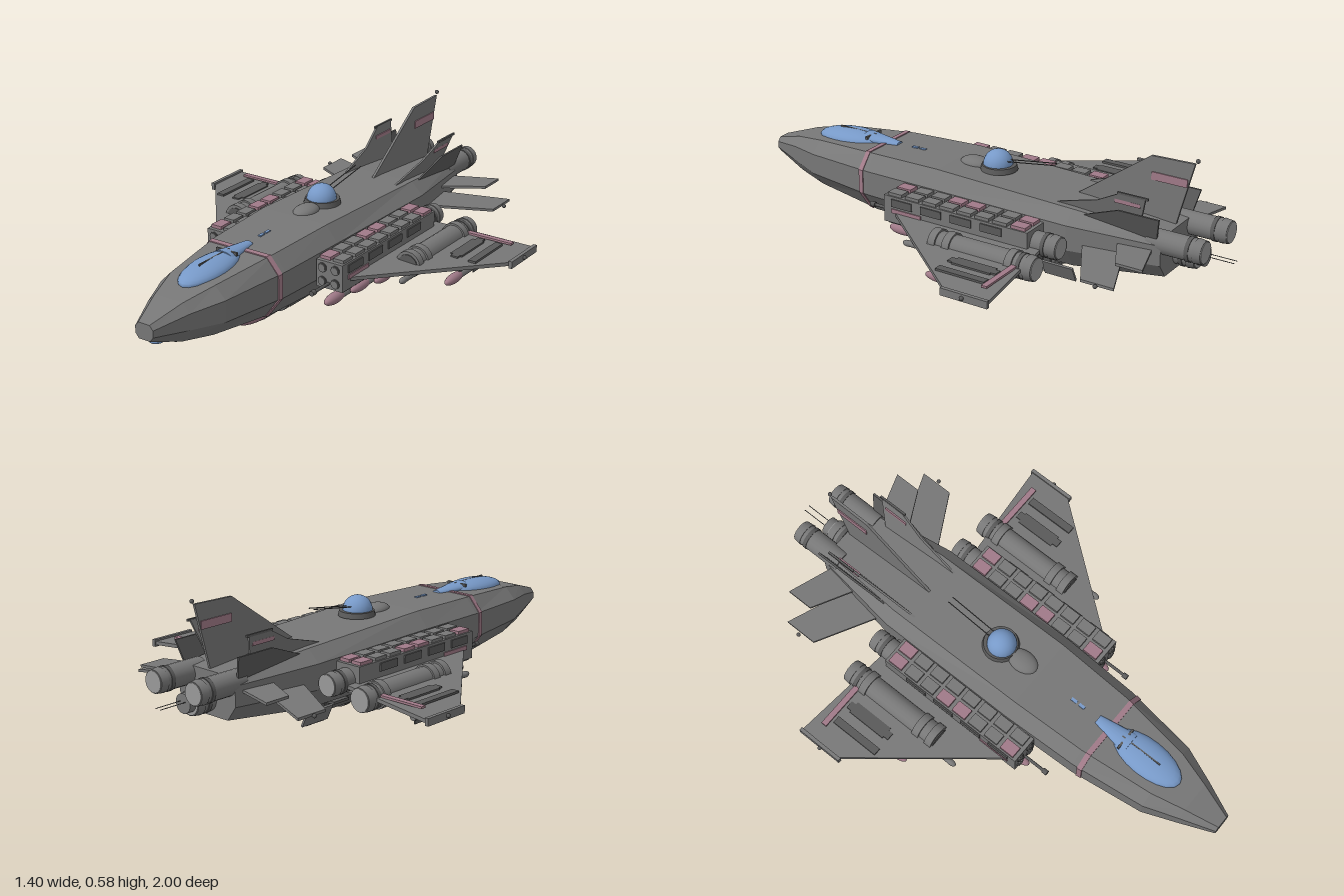
import * as THREE from 'three';

const mat = (name, color) => new THREE.MeshStandardMaterial({ name, color });

export function createModel() {
  const root = new THREE.Group();
  root.name = 'spaceFighter';
  const hull = mat('hull grey', 0x777777);
  const dark = mat('dark grey', 0x5a5a5a);
  const light = mat('nozzle grey', 0x9a9a9a);
  const pink = mat('dusty pink', 0xa07a88);
  const blue = mat('glass blue', 0x7799c8);

  const add = (name, geo, m, x = 0, y = 0, z = 0) => {
    const mesh = new THREE.Mesh(geo, m);
    mesh.name = name;
    mesh.position.set(x, y, z);
    root.add(mesh);
    return mesh;
  };
  const box = (name, m, x, y, z, w, h, d) => add(name, new THREE.BoxGeometry(w, h, d), m, x, y, z);
  const ball = (name, m, x, y, z, a, b = a, c = a) =>
    add(name, new THREE.SphereGeometry(1, 20, 14).scale(a, b, c), m, x, y, z);
  // Cylinder along z from z0 (front) to z1 (back)
  const tube = (name, m, x, y, z0, z1, r0, r1 = r0, n = 18) =>
    add(name, new THREE.CylinderGeometry(r0, r1, z0 - z1, n).rotateX(Math.PI / 2), m, x, y, (z0 + z1) / 2);
  const shapeOf = (pts) => new THREE.Shape(pts.map(([a, b]) => new THREE.Vector2(a, b)));
  // Horizontal plate from [x, z] points; y changes with |x| by slope
  const plate = (name, m, s, pts, y, t, slope = 0) => {
    const g = new THREE.ExtrudeGeometry(shapeOf(pts.map(([x, z]) => [s * x, -z])), { depth: t, bevelEnabled: false });
    g.rotateX(-Math.PI / 2).translate(0, y - t / 2, 0);
    const p = g.attributes.position;
    for (let i = 0; i < p.count; i++) p.setY(i, p.getY(i) + slope * Math.abs(p.getX(i)));
    g.computeVertexNormals();
    return add(name, g, m);
  };
  // Upright plate from [z, y] points; x changes with height by lean
  const fin = (name, m, pts, x, t, lean = 0) => {
    const g = new THREE.ExtrudeGeometry(shapeOf(pts), { depth: t, bevelEnabled: false });
    g.rotateY(-Math.PI / 2).translate(x + t / 2, 0, 0);
    const p = g.attributes.position, y0 = pts[0][1];
    for (let i = 0; i < p.count; i++) p.setX(i, p.getX(i) + lean * (p.getY(i) - y0));
    g.computeVertexNormals();
    return add(name, g, m);
  };

  // Fuselage sections: z, half width, flat top half width, bottom half width, top, upper edge, lower edge, bottom
  const sections = [
    [1.0, 0.038, 0.024, 0.024, 0.277, 0.26, 0.235, 0.217],
    [0.87, 0.09, 0.06, 0.05, 0.318, 0.285, 0.225, 0.172],
    [0.74, 0.14, 0.095, 0.085, 0.342, 0.297, 0.217, 0.155],
    [0.45, 0.178, 0.13, 0.12, 0.362, 0.305, 0.21, 0.13],
    [0.15, 0.19, 0.142, 0.135, 0.37, 0.31, 0.21, 0.125],
    [-0.43, 0.19, 0.142, 0.135, 0.352, 0.305, 0.21, 0.13],
    [-0.78, 0.14, 0.115, 0.1, 0.325, 0.295, 0.22, 0.165],
  ];
  const sectionAt = (z) => {
    let i = 0;
    while (i < sections.length - 2 && z < sections[i + 1][0]) i++;
    const a = sections[i], b = sections[i + 1], t = (a[0] - z) / (a[0] - b[0]);
    return a.map((v, k) => v + (b[k] - v) * t);
  };
  const ring = ([z, w, wt, wb, yt, yu, yl, yb], e = 0) => [
    [wb, yb - e, z], [w + e, yl, z], [w + e, yu, z], [wt, yt + e, z],
    [-wt, yt + e, z], [-w - e, yu, z], [-w - e, yl, z], [-wb, yb - e, z],
  ];
  const loft = (rings) => {
    const v = [], n = rings[0].length, last = rings[rings.length - 1];
    for (let s = 0; s < rings.length - 1; s++)
      for (let i = 0; i < n; i++) {
        const j = (i + 1) % n, a = rings[s][i], b = rings[s + 1][i], c = rings[s + 1][j], d = rings[s][j];
        v.push(...a, ...b, ...c, ...a, ...c, ...d);
      }
    for (let i = 1; i < n - 1; i++)
      v.push(...rings[0][0], ...rings[0][i], ...rings[0][i + 1], ...last[0], ...last[i + 1], ...last[i]);
    const g = new THREE.BufferGeometry();
    g.setAttribute('position', new THREE.Float32BufferAttribute(v, 3));
    g.computeVertexNormals();
    return g;
  };
  add('fuselage', loft(sections.map((s) => ring(s))), hull);
  add('bodyBand', loft([0.49, 0.47].map((z) => ring(sectionAt(z), 0.004))), pink);

  // Canopy, nose sensor and dorsal turret
  ball('canopy', blue, 0, 0.345, 0.65, 0.07, 0.036, 0.15).rotation.x = 0.06;
  add('canopyTail', new THREE.CylinderGeometry(0.018, 0.045, 0.15, 16).rotateX(-Math.PI / 2).scale(1, 0.5, 1), blue, 0, 0.362, 0.5);
  box('canopyRib', dark, 0, 0.378, 0.62, 0.005, 0.008, 0.17);
  box('canopyHoop', dark, 0, 0.374, 0.55, 0.09, 0.012, 0.008);
  ball('noseSensor', blue, 0, 0.197, 0.935, 0.03, 0.014, 0.035);
  tube('chinSensor', dark, 0, 0.16, 0.845, 0.815, 0.014);
  for (const z of [0.315, 0.35]) box('dorsalLight', blue, 0, 0.366, z, 0.012, 0.006, 0.025);
  add('turretRing', new THREE.CylinderGeometry(0.065, 0.07, 0.02, 24), dark, 0, 0.376, -0.03);
  ball('turretDome', blue, 0, 0.385, -0.025, 0.056);
  ball('dorsalBlister', hull, 0, 0.366, 0.075, 0.043, 0.025, 0.062);
  for (const x of [-0.012, 0.012]) tube('turretGun', dark, x, 0.42, -0.06, -0.27, 0.002, 0.002, 6).rotation.x = 0.15;

  // Central tail fin
  fin('tailFin', hull, [[-0.36, 0.345], [-0.66, 0.56], [-0.83, 0.565], [-0.765, 0.32]], 0, 0.01);
  box('tailFinStripe', pink, 0, 0.487, -0.735, 0.018, 0.03, 0.14);
  ball('tailBeacon', dark, 0, 0.576, -0.838, 0.008);

  // Rear engines
  const nozzle = (x, y, z0, z1, r) => {
    tube('engineBody', hull, x, y, z0, z1 + 0.03, r * 0.94);
    tube('engineCollar', dark, x, y, z1 + 0.06, z1 + 0.045, r);
    tube('engineNozzle', hull, x, y, z1 + 0.03, z1, r, r * 0.92);
    tube('engineGlow', light, x, y, z1 + 0.002, z1 - 0.003, r * 0.86);
  };
  for (const x of [-0.1, 0.1]) nozzle(x, 0.295, -0.72, -0.93, 0.046);
  nozzle(0, 0.225, -0.74, -0.86, 0.05);
  tube('centreNozzle', hull, 0, 0.23, -0.85, -0.89, 0.036);
  for (const x of [-0.012, 0.012]) tube('tailProbe', dark, x, 0.237, -0.88, -1, 0.0015, 0.0015, 6);

  // Belly torpedo
  ball('torpedoNose', pink, 0, 0.088, 0.37, 0.045, 0.042, 0.14);
  tube('torpedoBody', hull, 0, 0.088, 0.38, -0.3, 0.045);
  box('torpedoCradle', dark, 0, 0.095, 0.0, 0.104, 0.07, 0.5);
  for (const z of [0.25, -0.12, -0.27]) tube('torpedoBand', dark, 0, 0.088, z + 0.015, z - 0.015, 0.053);
  box('torpedoKeel', hull, 0, 0.032, -0.257, 0.008, 0.062, 0.095);
  box('torpedoPylon', dark, 0, 0.13, -0.02, 0.05, 0.04, 0.5);
  tube('torpedoNozzle', light, 0, 0.088, -0.295, -0.32, 0.034);

  const missile = (x, y, nose, r = 0.019) => {
    ball('missileNose', pink, x, y, nose - 0.06, r, r, 0.06);
    tube('missileBody', hull, x, y, nose - 0.06, nose - 0.25, r * 0.75, r * 0.75, 12);
    box('missileFins', dark, x, y, nose - 0.22, r * 3, 0.004, 0.04);
    box('missileFins', dark, x, y, nose - 0.22, 0.004, r * 3, 0.04);
    box('missilePylon', dark, x, y + 0.03, nose - 0.14, 0.01, 0.045, 0.1);
  };

  for (const s of [1, -1]) {
    // Launcher pod with tubes, hatches and a gun
    box('launcherPod', hull, s * 0.244, 0.244, -0.03, 0.112, 0.104, 0.62);
    for (const y of [0.27, 0.218])
      for (const x of [0.215, 0.27]) {
        tube('launchTubeRim', dark, s * x, y, 0.284, 0.27, 0.018);
        tube('launchTube', hull, s * x, y, 0.287, 0.27, 0.014);
      }
    for (let i = 0; i < 8; i++)
      for (const c of [-1, 1]) {
        const isPink = (c < 0 && [0, 3, 4].includes(i)) || i === 7;
        box('podHatch', isPink ? pink : hull, s * 0.244 + c * 0.028, 0.302, 0.235 - i * 0.076, 0.044, 0.012, 0.06);
        box('podUnderHatch', dark, s * 0.244 + c * 0.028, 0.191, 0.235 - i * 0.076, 0.044, 0.01, 0.06);
      }
    box('podSideStripe', pink, s * 0.301, 0.24, 0.18, 0.006, 0.016, 0.13);
    for (let i = 0; i < 4; i++) box('podSidePanel', dark, s * 0.301, 0.272, 0.2 - i * 0.13, 0.008, 0.03, 0.09);
    tube('podGun', dark, s * 0.24, 0.213, 0.37, 0.2, 0.006, 0.006, 8);
    tube('podGunMuzzle', dark, s * 0.24, 0.213, 0.385, 0.365, 0.01, 0.01, 10);
    nozzle(s * 0.24, 0.24, -0.3, -0.44, 0.045);

    // Wing, flap panels, stripe and tip fence
    plate('wing', hull, s, [[0.18, 0.27], [0.3, 0.23], [0.68, -0.25], [0.68, -0.425], [0.18, -0.37]], 0.244, 0.014, -0.055);
    plate('wingStripe', pink, s, [[0.43, -0.36], [0.62, -0.36], [0.62, -0.382], [0.43, -0.382]], 0.23, 0.008);
    for (const x of [0.5, 0.575]) box('wingPanel', dark, s * x, 0.225, -0.25, 0.03, 0.008, 0.2);
    box('wingTipFence', hull, s * 0.684, 0.207, -0.335, 0.014, 0.028, 0.19);
    ball('wingTipLight', dark, s * 0.694, 0.207, -0.33, 0.008);
    // Wing engine nacelle and wing gun
    tube('nacelle', hull, s * 0.39, 0.218, -0.02, -0.4, 0.044);
    for (const z of [-0.01, -0.07, -0.33]) tube('nacelleBand', hull, s * 0.39, 0.218, z, z - 0.03, 0.051);
    tube('nacelleIntake', dark, s * 0.39, 0.218, -0.006, -0.03, 0.04);
    nozzle(s * 0.39, 0.218, -0.36, -0.435, 0.048);
    tube('wingGun', hull, s * 0.428, 0.2, 0.08, -0.2, 0.011, 0.011, 12);
    ball('wingGunTip', hull, s * 0.428, 0.2, 0.08, 0.012, 0.012, 0.022);

    // Underslung missiles
    missile(s * 0.24, 0.142, 0.3, 0.021);
    missile(s * 0.27, 0.153, 0.18);
    missile(s * 0.3, 0.156, 0.07);
    missile(s * 0.52, 0.157, -0.06);
    box('missileMount', dark, s * 0.498, 0.208, -0.25, 0.048, 0.042, 0.16);

    // Canted dorsal fins
    fin('outerTailFin', hull, [[-0.3, 0.34], [-0.52, 0.405], [-0.62, 0.46], [-0.72, 0.46], [-0.68, 0.33]], s * 0.11, 0.008, s * 0.3);
    fin('sideTailFin', dark, [[-0.43, 0.325], [-0.62, 0.4], [-0.78, 0.4], [-0.76, 0.31]], s * 0.135, 0.008, s * 0.3);
    box('finTipRod', dark, s * 0.147, 0.46, -0.67, 0.008, 0.008, 0.12);
    box('finStripe', pink, s * 0.135, 0.425, -0.645, 0.014, 0.014, 0.1);

    // Tail planes
    plate('lowerTailplane', hull, s, [[0.14, -0.47], [0.4, -0.615], [0.4, -0.745], [0.14, -0.64]], 0.245, 0.01, -0.04);
    plate('upperTailplane', hull, s, [[0.12, -0.6], [0.315, -0.7], [0.315, -0.805], [0.12, -0.74]], 0.265, 0.01, 0.04);
    ball('tailplaneLight', dark, s * 0.412, 0.229, -0.68, 0.008);

    // Belly strakes
    box('bellyStrake', hull, s * 0.113, 0.082, -0.36, 0.008, 0.066, 0.13).rotation.z = s * -0.45;
    box('torpedoSideFin', dark, s * 0.062, 0.09, -0.2, 0.04, 0.01, 0.08);
  }
  return root;
}
